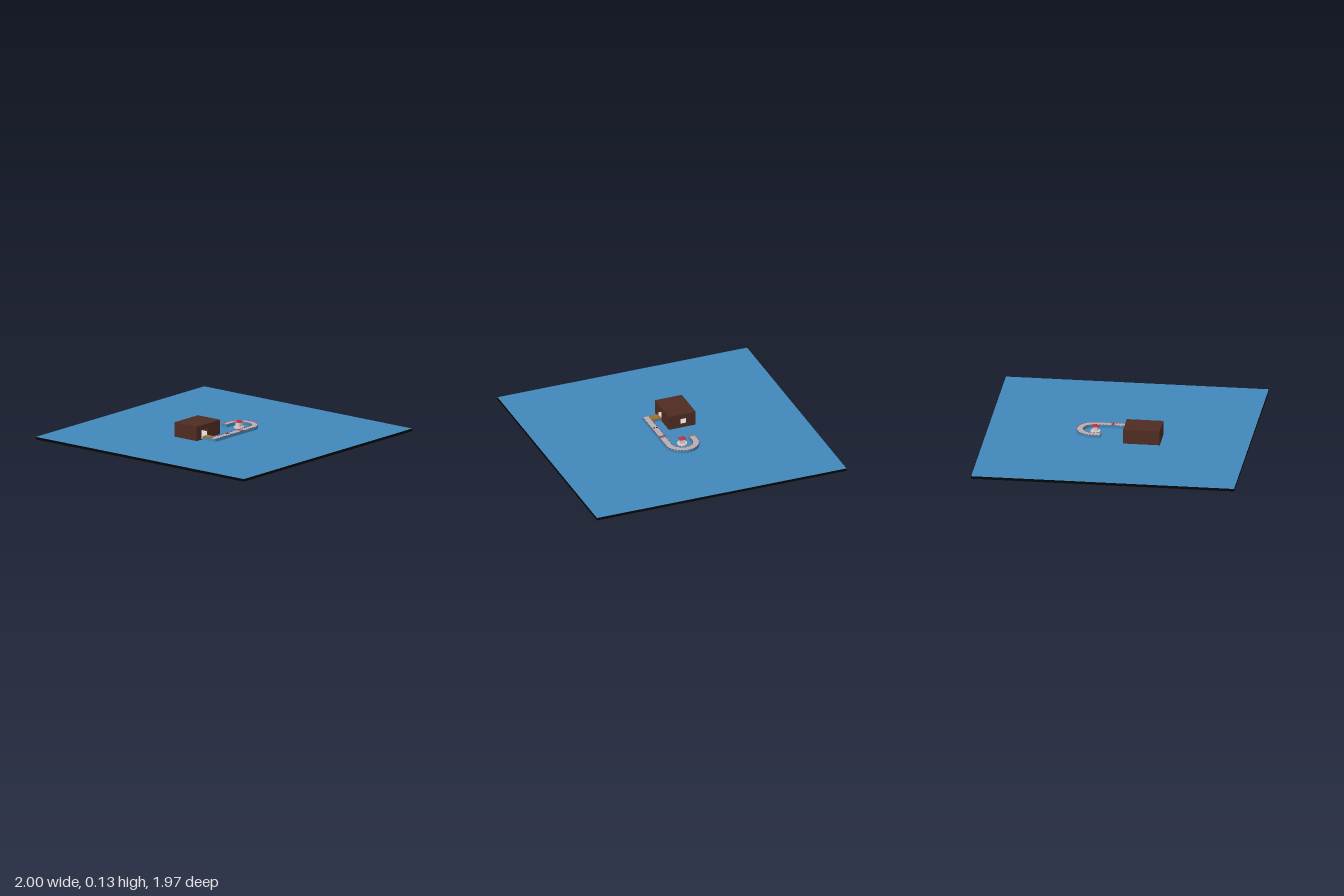
import * as THREE from 'three';

const paint = (name, color) => {
  const m = new THREE.MeshStandardMaterial({ color });
  m.name = name;
  return m;
};

export function createModel() {
  const blue = paint('water blue', 0x4189bb);
  const black = paint('black', 0x050505);
  const brown = paint('brown', 0x4f2c23);
  const grey = paint('track grey', 0xb2b0b4);
  const white = paint('off white', 0xdcd2d0);
  const red = paint('red', 0xb83040);
  const wood = paint('wood', 0x977230);

  const model = new THREE.Group();
  const add = (name, geometry, material, parent = model) => {
    const mesh = new THREE.Mesh(geometry, material);
    mesh.name = name;
    parent.add(mesh);
    return mesh;
  };
  // Box given by its limits on each axis
  const box = (name, x0, x1, y0, y1, z0, z1, material, parent) => {
    const mesh = add(name, new THREE.BoxGeometry(x1 - x0, y1 - y0, z1 - z0), material, parent);
    mesh.position.set((x0 + x1) / 2, (y0 + y1) / 2, (z0 + z1) / 2);
    return mesh;
  };
  const group = (name) => {
    const g = new THREE.Group();
    g.name = name;
    model.add(g);
    return g;
  };
  const rect = (S, x0, x1, y0, y1) => new S([[x0, y0], [x1, y0], [x1, y1], [x0, y1]]
    .map(([x, y]) => new THREE.Vector2(x, y)));

  // Base slab with a water surface
  const ground = 0.02;
  box('base', -1, 1, 0, ground, -0.985, 0.985, [black, black, blue, black, black, black]);

  // Hollow house: flat roof, back window, doorway on the +x side
  const house = group('house');
  const [x0, x1, z0, z1, top, t] = [-0.21, 0.005, 0.05, 0.325, 0.13, 0.006];
  box('houseFloor', x0 + t, x1 - t, ground, 0.024, z0 + t, z1 - t, white, house);
  box('roof', x0, x1, top - t, top, z0, z1, brown, house);
  box('frontWall', x0, x1, ground, top - t, z1 - t, z1, brown, house);
  box('sideWall', x0, x0 + t, ground, top - t, z0 + t, z1 - t, brown, house);
  const holedWall = (name, outer, hole) => {
    const shape = rect(THREE.Shape, ...outer);
    shape.holes.push(rect(THREE.Path, ...hole));
    return add(name, new THREE.ExtrudeGeometry(shape, { depth: t, bevelEnabled: false }), brown, house);
  };
  holedWall('windowWall', [x0, x1, ground, top - t], [-0.135, -0.088, 0.05, 0.092]).position.z = z0;
  const doorWall = holedWall('doorWall', [-z1 + t, -z0 - t, ground, top - t], [-0.27, -0.2, 0.024, 0.095]);
  doorWall.rotation.y = Math.PI / 2;
  doorWall.position.x = x1 - t;

  // Dock between the doorway and the track
  const dock = group('dock');
  box('dockBody', x1, 0.08, ground, 0.036, 0.2, 0.26, blue, dock);
  box('dockDeck', x1, 0.08, 0.036, 0.045, 0.2, 0.26, wood, dock);

  // Hook-shaped track; the shape's y is minus z
  const track = group('track');
  const [outer, inner, bend, start, end, deck] = [0.13, 0.08, 0.195, 0.26, 0.13, 0.043];
  const shape = new THREE.Shape();
  shape.moveTo(outer, -start);
  shape.lineTo(outer, bend);
  shape.absarc(0, bend, outer, 0, Math.PI, false);
  shape.lineTo(-outer, end);
  shape.lineTo(-inner, end);
  shape.lineTo(-inner, bend);
  shape.absarc(0, bend, inner, Math.PI, 0, true);
  shape.lineTo(inner, -start);
  const trackGeometry = new THREE.ExtrudeGeometry(shape,
    { depth: deck - ground, bevelEnabled: false, curveSegments: 24 });
  trackGeometry.rotateX(-Math.PI / 2).translate(0, ground, 0);
  add('trackBody', trackGeometry, [grey, blue], track);

  // Dashed red edging along both sides of the track
  const dash = (x, z, turn) => {
    const mesh = add('edgeDash', new THREE.BoxGeometry(0.004, 0.002, 0.014), red, track);
    mesh.position.set(x, deck + 0.001, z);
    mesh.rotation.y = turn;
  };
  for (const r of [outer - 0.002, inner + 0.002]) {
    for (let z = start - 0.012; z > -bend; z -= 0.024) dash(r, z, 0);
    const n = Math.round(Math.PI * r / 0.024);
    for (let i = 0; i < n; i++) {
      const a = Math.PI * (i + 0.5) / n;
      dash(r * Math.cos(a), -bend - r * Math.sin(a), a);
    }
    for (let z = -bend + 0.012; z < -end - 0.006; z += 0.024) dash(-r, z, 0);
  }

  // Markings across the track
  box('redStripe', inner, outer, deck, deck + 0.003, -0.071, -0.055, red, track);
  box('blueStripe', inner, outer, deck, deck + 0.003, -0.077, -0.071, blue, track);
  box('endStrip', -outer, -inner, deck, deck + 0.003, -0.139, -0.131, wood, track);
  for (const x of [0.092, 0.112]) {
    box('blackMark', x - 0.005, x + 0.005, deck, deck + 0.004, 0.075, 0.082, black, track);
  }

  // Small tower inside the bend
  const tower = group('tower');
  tower.position.set(-0.007, ground, -0.183);
  const foot = add('towerFoot', new THREE.CylinderGeometry(0.037, 0.037, 0.012, 24), white, tower);
  foot.position.y = 0.006;
  const body = add('towerBody', new THREE.BoxGeometry(0.038, 0.034, 0.038), white, tower);
  body.position.y = 0.028;
  const roofGeometry = new THREE.ConeGeometry(0.037, 0.02, 4).toNonIndexed();
  roofGeometry.computeVertexNormals();
  const roof = add('towerRoof', roofGeometry, red, tower);
  roof.position.y = 0.055;
  roof.rotation.y = Math.PI / 4;

  return model;
}
